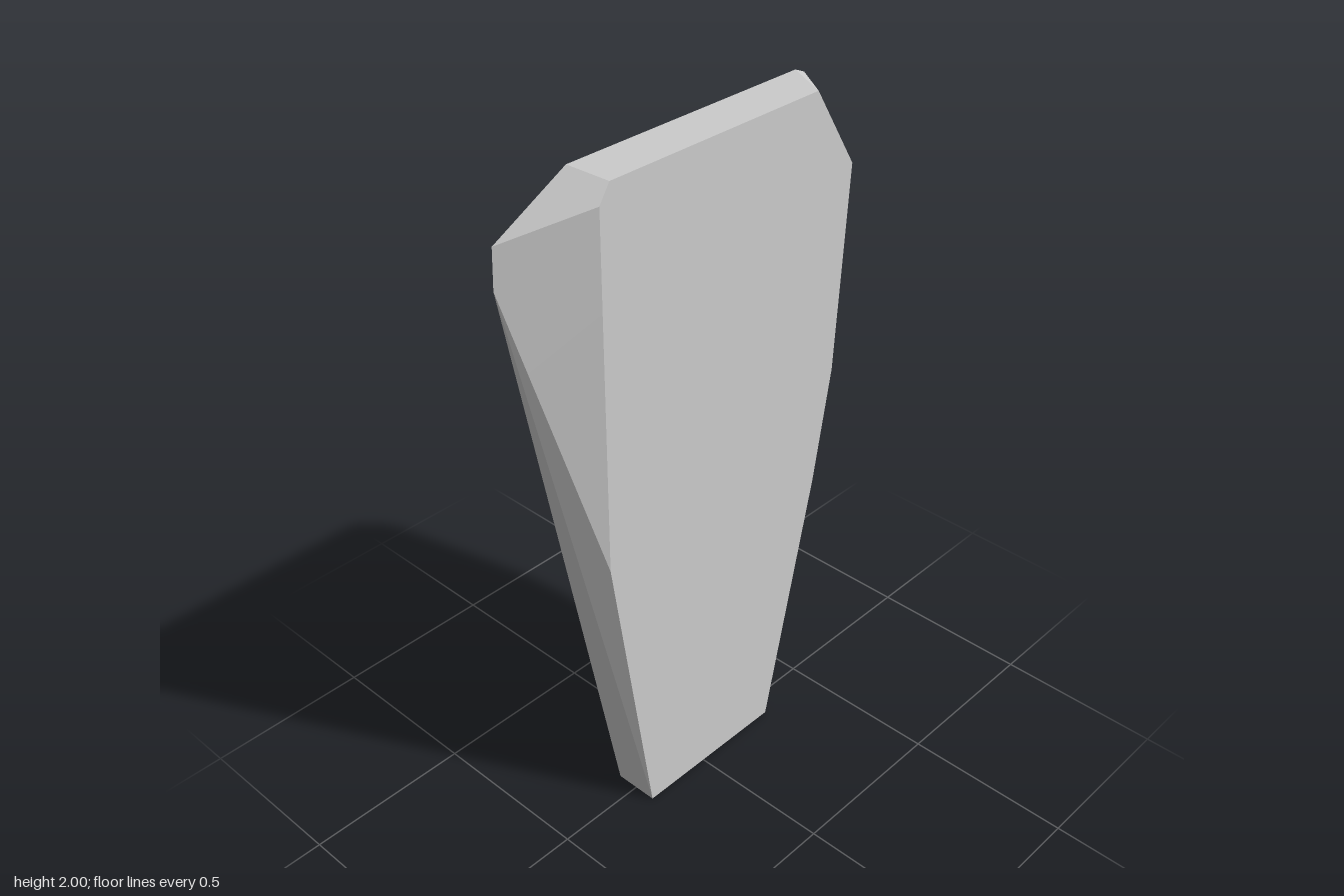
import * as THREE from 'three';
import { ConvexGeometry } from 'three/addons/geometries/ConvexGeometry.js';
import { toCreasedNormals } from 'three/addons/utils/BufferGeometryUtils.js';

const HALF = 0.067; // half of the slab's thickness

// Back edge shared by both broad faces, as [z, y], bottom to top
const backEdge = [[-0.285, 0], [-0.46, 0.8], [-0.52, 1.15], [-0.555, 1.76]];

// Left face: straight corner cut at the back, bevelled front edge
const leftOutline = [
  ...backEdge,
  [-0.4, 2], [0.32, 2], [0.353, 1.95], [0.357, 0.93], [0.22, 0],
];

// Right face: rounded corner at the back, wide pointed front edge
const rightOutline = [
  ...backEdge,
  [-0.557, 1.86], [-0.542, 1.92], [-0.505, 1.985], [-0.47, 2],
  [0.325, 2], [0.555, 1.88], [0.56, 1.77], [0.22, 0],
];

const place = (outline, x) => outline.map(([z, y]) => new THREE.Vector3(x, y, z));

export function createModel() {
  const group = new THREE.Group();
  group.name = 'taperedSlab';

  // The slab is the convex skin stretched between its two broad faces
  const skin = new ConvexGeometry([...place(leftOutline, HALF), ...place(rightOutline, -HALF)]);
  const slab = new THREE.Mesh(
    toCreasedNormals(skin, 0.3),
    new THREE.MeshStandardMaterial({ color: 0xcccccc }),
  );
  slab.name = 'slab';
  group.add(slab);
  return group;
}
